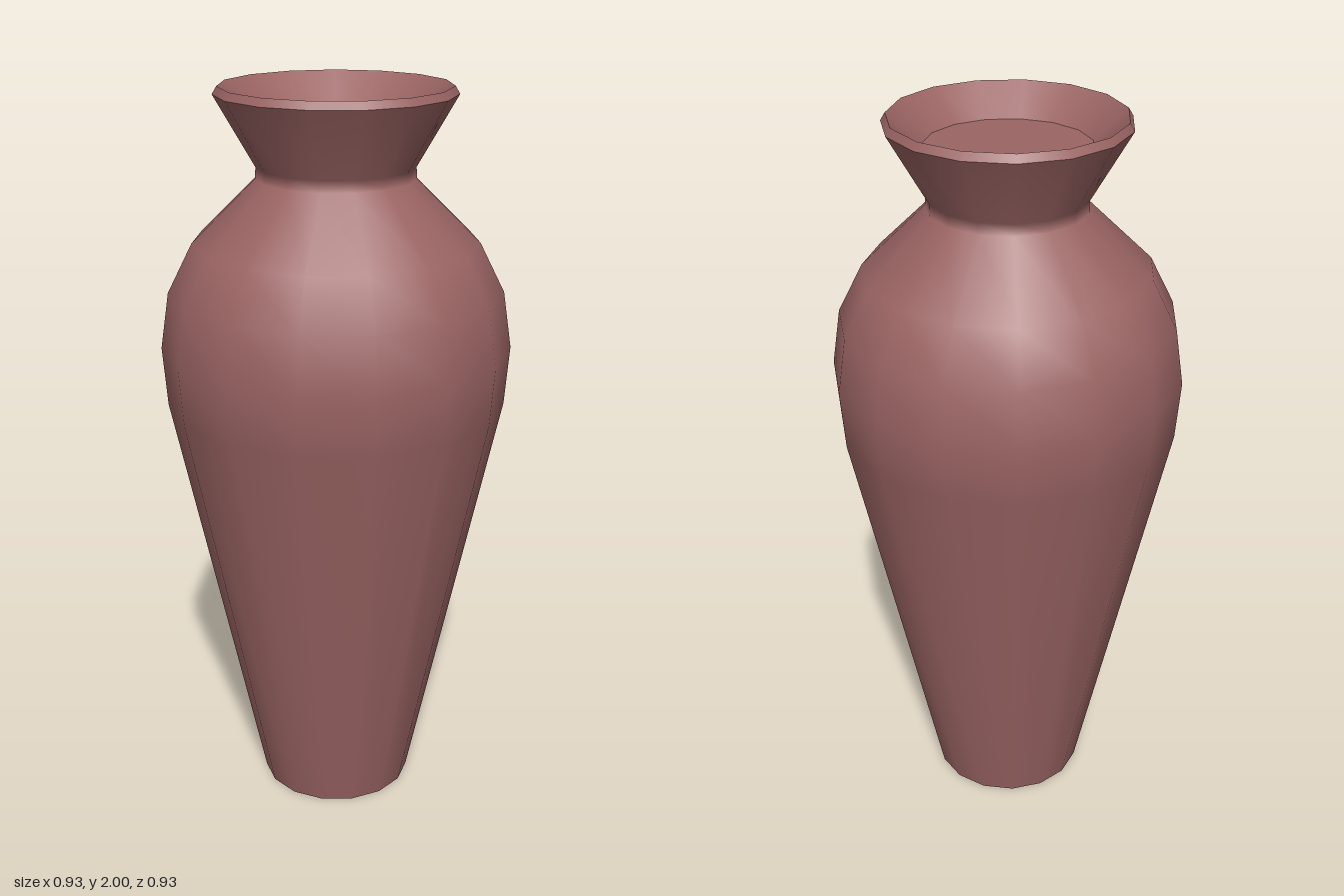
import * as THREE from 'three';

const SIDES = 15;

export function createModel() {
  const vase = new THREE.Group();
  vase.name = 'vase';
  const clay = new THREE.MeshStandardMaterial({ color: 0x9a6463 });

  const add = (name, geometry) => {
    const mesh = new THREE.Mesh(geometry, clay);
    mesh.name = name;
    mesh.position.x = -0.005; // centres the odd-sided outline
    vase.add(mesh);
    return mesh;
  };

  // Turned section, with one corner pointing to +x
  const turn = (name, profile) => add(name, new THREE.LatheGeometry(
    profile.map(([r, y]) => new THREE.Vector2(r, y)), SIDES, Math.PI / 2));

  // Flat disc facing up (1) or down (-1)
  const disc = (name, radius, y, facing) => {
    const geometry = new THREE.CircleGeometry(radius, SIDES);
    geometry.rotateX(-facing * Math.PI / 2);
    add(name, geometry).position.y = y;
  };

  // Smooth outside: tapered body, shoulder, neck and flared mouth
  turn('body', [
    [0.21, 0], [0.456, 1.16], [0.468, 1.32], [0.445, 1.47],
    [0.379, 1.6], [0.21, 1.765], [0.208, 1.795], [0.314, 1.98],
  ]);

  // Sharp lip, then the sloping inside of the mouth
  turn('lip', [[0.314, 1.98], [0.302, 2]]);
  turn('mouthInside', [[0.302, 2], [0.215, 1.922]]);

  disc('mouthFloor', 0.215, 1.922, 1);
  disc('base', 0.21, 0, -1);

  return vase;
}
